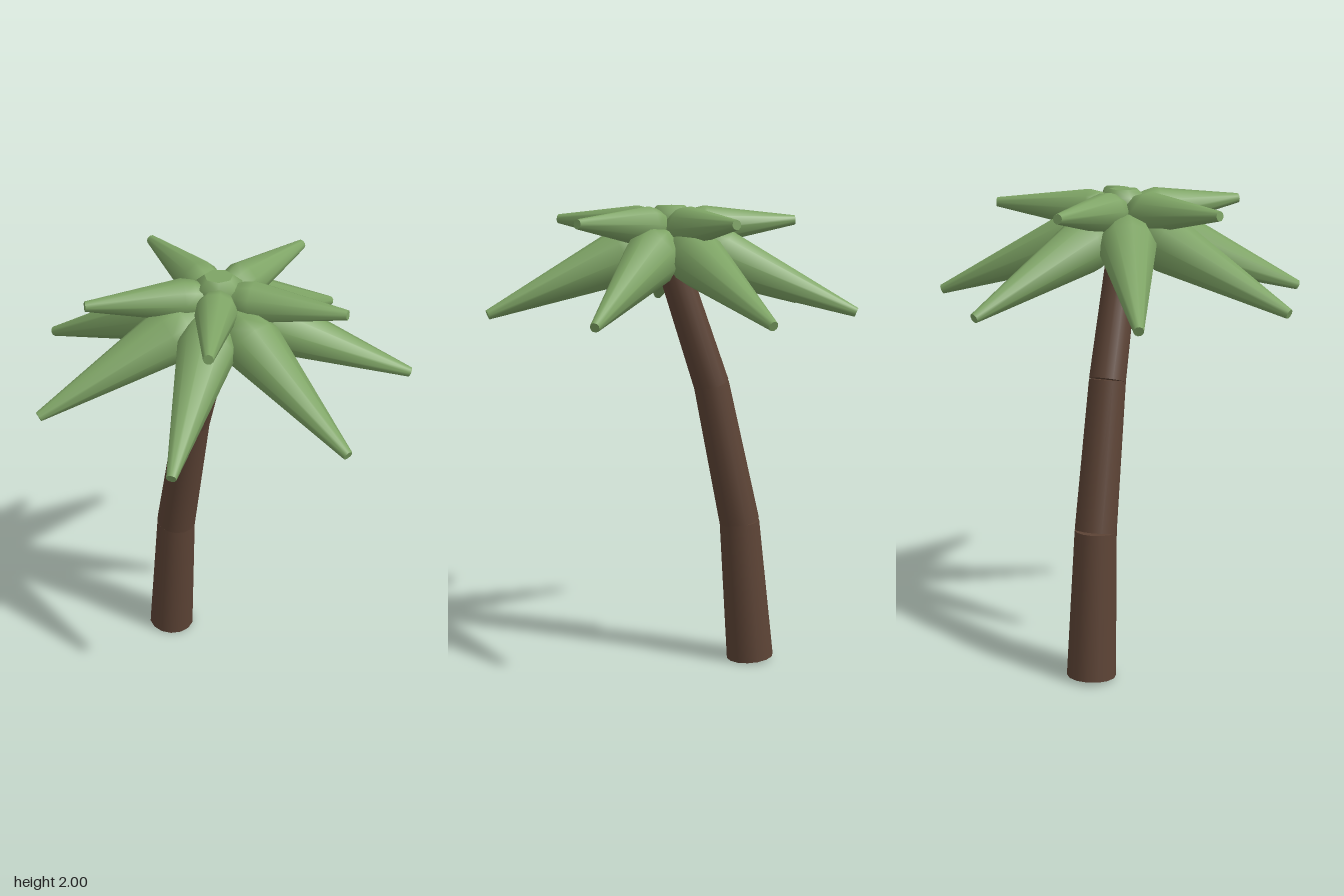
import * as THREE from 'three';

const UP = new THREE.Vector3(0, 1, 0);
const v = (x, y, z = 0) => new THREE.Vector3(x, y, z);

// Places a mesh whose axis is +y so that it starts at a point and runs along a direction
function aim(mesh, start, dir) {
  mesh.position.copy(start);
  mesh.quaternion.setFromUnitVectors(UP, dir.clone().normalize());
  return mesh;
}

// Closed turned solid; repeated profile points keep the end rims sharp
function turned(profile, sides) {
  return new THREE.LatheGeometry(profile.map(([r, y]) => new THREE.Vector2(r, y)), sides);
}

export function createModel() {
  const group = new THREE.Group();
  const bark = new THREE.MeshStandardMaterial({ color: 0x5c4335 });
  bark.name = 'bark brown';
  const leaf = new THREE.MeshStandardMaterial({ color: 0x7ea465 });
  leaf.name = 'leaf green';

  // Trunk: three straight tapering logs, each leaning further
  const joints = [v(-0.412, 0.012), v(-0.357, 0.63), v(-0.224, 1.24), v(-0.012, 1.86)];
  const radii = [0.103, 0.087, 0.076, 0.064];
  for (let i = 0; i < 3; i++) {
    const dir = joints[i + 1].clone().sub(joints[i]);
    const length = dir.length();
    const geometry = new THREE.CylinderGeometry(radii[i + 1], radii[i], length, 14);
    geometry.translate(0, length / 2, 0);
    const log = aim(new THREE.Mesh(geometry, bark), joints[i], dir);
    log.name = 'trunkSegment' + (i + 1);
    group.add(log);
  }

  // Fronds: spindles that swell near the crown and taper to a blunt tip
  function frondRing(name, count, firstAngle, rootY, tipY, reach, widest, widestAt) {
    const root = v(-0.04, rootY);
    const length = Math.hypot(reach, tipY - rootY);
    const geometry = turned([
      [0, 0], [0.04, 0], [0.04, 0],
      [widest * 0.9, widestAt * 0.68], [widest, widestAt],
      [0.02, length], [0.02, length], [0, length],
    ], 10);
    for (let i = 0; i < count; i++) {
      const a = firstAngle + (i / count) * Math.PI * 2;
      const dir = v(Math.cos(a) * reach, tipY - rootY, Math.sin(a) * reach);
      const frond = aim(new THREE.Mesh(geometry, leaf), root, dir);
      frond.name = name + (i + 1);
      group.add(frond);
    }
  }
  frondRing('lowerFrond', 7, 0, 1.875, 1.565, 0.777, 0.116, 0.24);
  frondRing('upperFrond', 5, THREE.MathUtils.degToRad(-29.5), 1.908, 1.936, 0.533, 0.084, 0.15);

  // Crown bud with a small flat top
  const bud = new THREE.Mesh(turned([
    [0, 0], [0.06, 0], [0.1, 0.06], [0.095, 0.12], [0.058, 0.15], [0.058, 0.15], [0, 0.15],
  ], 7), leaf);
  bud.name = 'crownBud';
  bud.position.set(-0.04, 1.85, 0);
  group.add(bud);

  return group;
}
